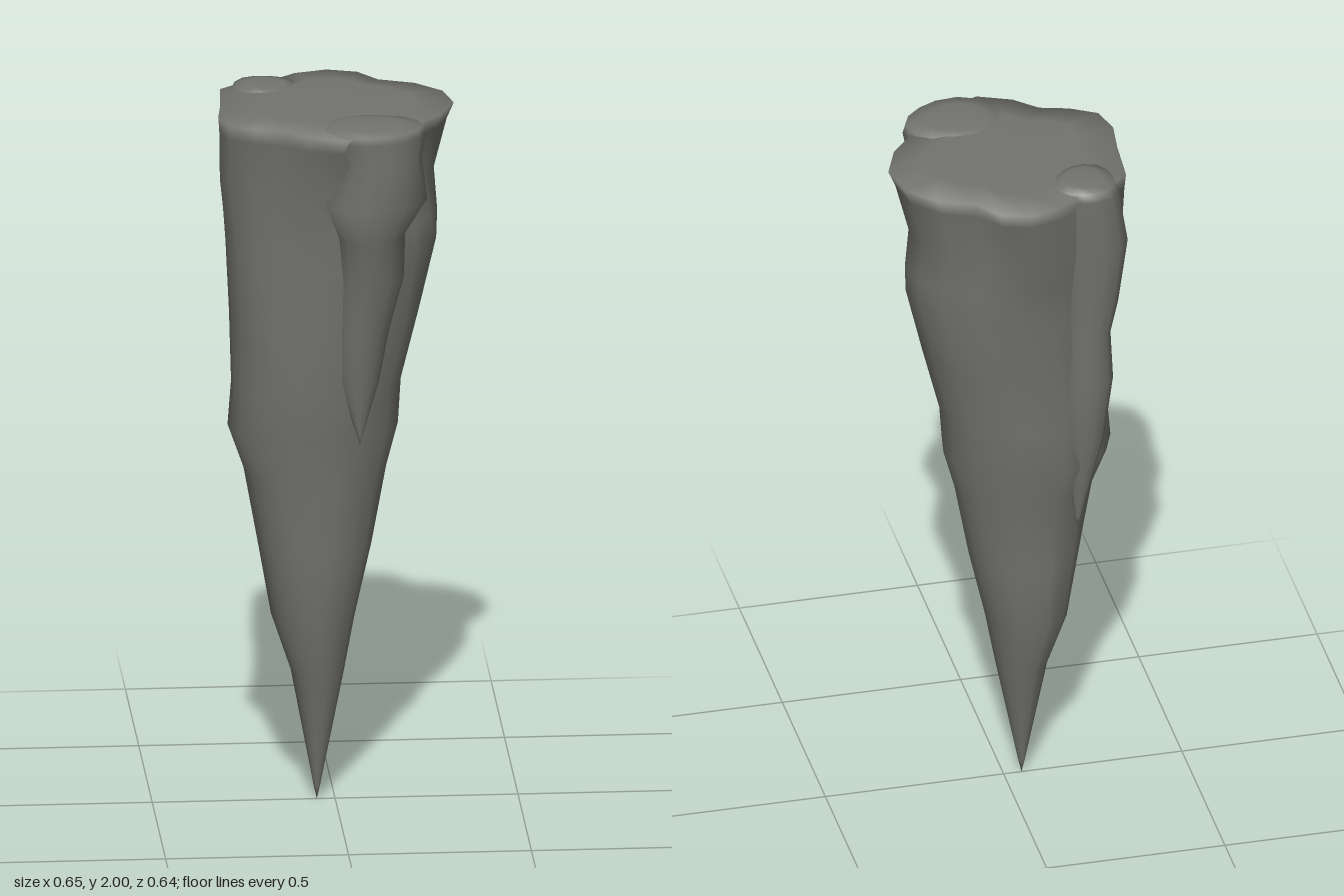
import * as THREE from 'three';
import { mergeVertices } from 'three/addons/utils/BufferGeometryUtils.js';

// Lobed outline of the main cone, [x, z] within a unit circle
const LOBED = [
  [0, -1], [0.25, -0.92], [0.41, -0.7], [0.71, -0.58], [0.93, -0.35], [1, -0.02],
  [0.88, 0.28], [0.7, 0.49], [0.46, 0.68], [0.26, 0.88], [0, 0.98], [-0.28, 0.86],
  [-0.47, 0.68], [-0.71, 0.61], [-0.93, 0.48], [-1, 0.23], [-0.96, -0.09],
  [-0.93, -0.53], [-0.72, -0.71], [-0.4, -0.81], [-0.28, -0.92],
];

// Slightly uneven round outline for the side spikes
const ROUND = Array.from({ length: 14 }, (_, i) => {
  const a = (i / 14) * Math.PI * 2;
  const r = 0.98 + 0.04 * Math.cos(3 * a + 0.6);
  return [Math.cos(a) * r, Math.sin(a) * r];
});

// Skin a closed body through rings of [y, centreX, radiusX, centreZ, radiusZ], top to bottom
function loft(outline, rings, soften) {
  const n = outline.length, pos = [], idx = [];
  rings.forEach(([y, cx, rx, cz, rz], i) => {
    const t = soften * Math.min(1, Math.max(0, (1.98 - y) / 0.6));
    outline.forEach(([x, z]) => {
      const k = 1 + t * (1 / Math.hypot(x, z) - 1); // lobes fade downwards
      pos.push(cx + x * k * rx, y, cz + z * k * rz);
    });
    if (i === rings.length - 1) return;
    for (let j = 0; j < n; j++) {
      const a = i * n + j, b = i * n + (j + 1) % n;
      if (i > 0) idx.push(a, b, a + n);
      if (i < rings.length - 2) idx.push(b, b + n, a + n);
    }
  });
  const raw = new THREE.BufferGeometry();
  raw.setAttribute('position', new THREE.Float32BufferAttribute(pos, 3));
  raw.setIndex(idx);
  const geo = mergeVertices(raw, 1e-5);
  geo.computeVertexNormals();
  return geo;
}

export function createModel() {
  const group = new THREE.Group();
  const stone = new THREE.MeshStandardMaterial({ color: 0x737370 });
  stone.name = 'darkStone';

  const add = (name, outline, rings, soften = 0) => {
    const mesh = new THREE.Mesh(loft(outline, rings, soften), stone);
    mesh.name = name;
    group.add(mesh);
  };

  // Main hanging cone with a nearly flat cap
  add('mainStalactite', LOBED, [
    [1.996, 0, 0, 0, 0],
    [1.993, 0, 0.22, 0, 0.22],
    [1.985, 0, 0.325, 0, 0.322],
    [1.94, -0.008, 0.314, -0.005, 0.305],
    [1.8, -0.025, 0.296, -0.012, 0.27],
    [1.68, -0.015, 0.295, -0.007, 0.25],
    [1.6, -0.013, 0.29, -0.004, 0.237],
    [1.4, -0.03, 0.26, -0.003, 0.218],
    [1.2, -0.052, 0.232, -0.003, 0.198],
    [1.07, -0.06, 0.233, -0.013, 0.192],
    [0.95, -0.055, 0.195, -0.003, 0.16],
    [0.73, -0.055, 0.155, -0.005, 0.15],
    [0.53, -0.06, 0.115, -0.007, 0.128],
    [0.37, -0.048, 0.073, -0.003, 0.083],
    [0.04, -0.05, 0.009, 0, 0.01],
    [0, -0.05, 0, 0, 0],
  ], 1);

  // Shorter spike fused to the front
  add('frontSpike', ROUND, [
    [2, 0.085, 0, 0.205, 0],
    [1.998, 0.085, 0.09, 0.205, 0.07],
    [1.991, 0.085, 0.14, 0.205, 0.112],
    [1.97, 0.087, 0.145, 0.205, 0.116],
    [1.9, 0.105, 0.115, 0.205, 0.107],
    [1.78, 0.085, 0.15, 0.2, 0.12],
    [1.68, 0.078, 0.098, 0.196, 0.102],
    [1.55, 0.08, 0.094, 0.177, 0.087],
    [1.4, 0.06, 0.075, 0.17, 0.07],
    [1.25, 0.05, 0.058, 0.164, 0.05],
    [1.09, 0.055, 0.006, 0.174, 0.006],
    [1.07, 0.055, 0, 0.174, 0],
  ]);

  // Longer, thinner spike fused to the back
  add('backSpike', ROUND, [
    [2, -0.18, 0, -0.18, 0],
    [1.998, -0.18, 0.055, -0.18, 0.055],
    [1.991, -0.18, 0.088, -0.18, 0.086],
    [1.965, -0.185, 0.095, -0.18, 0.09],
    [1.8, -0.208, 0.1, -0.17, 0.09],
    [1.6, -0.2, 0.082, -0.163, 0.08],
    [1.5, -0.193, 0.068, -0.161, 0.066],
    [1.35, -0.195, 0.075, -0.155, 0.07],
    [1.15, -0.188, 0.058, -0.144, 0.06],
    [0.88, -0.176, 0.007, -0.132, 0.007],
    [0.85, -0.176, 0, -0.13, 0],
  ]);

  return group;
}
